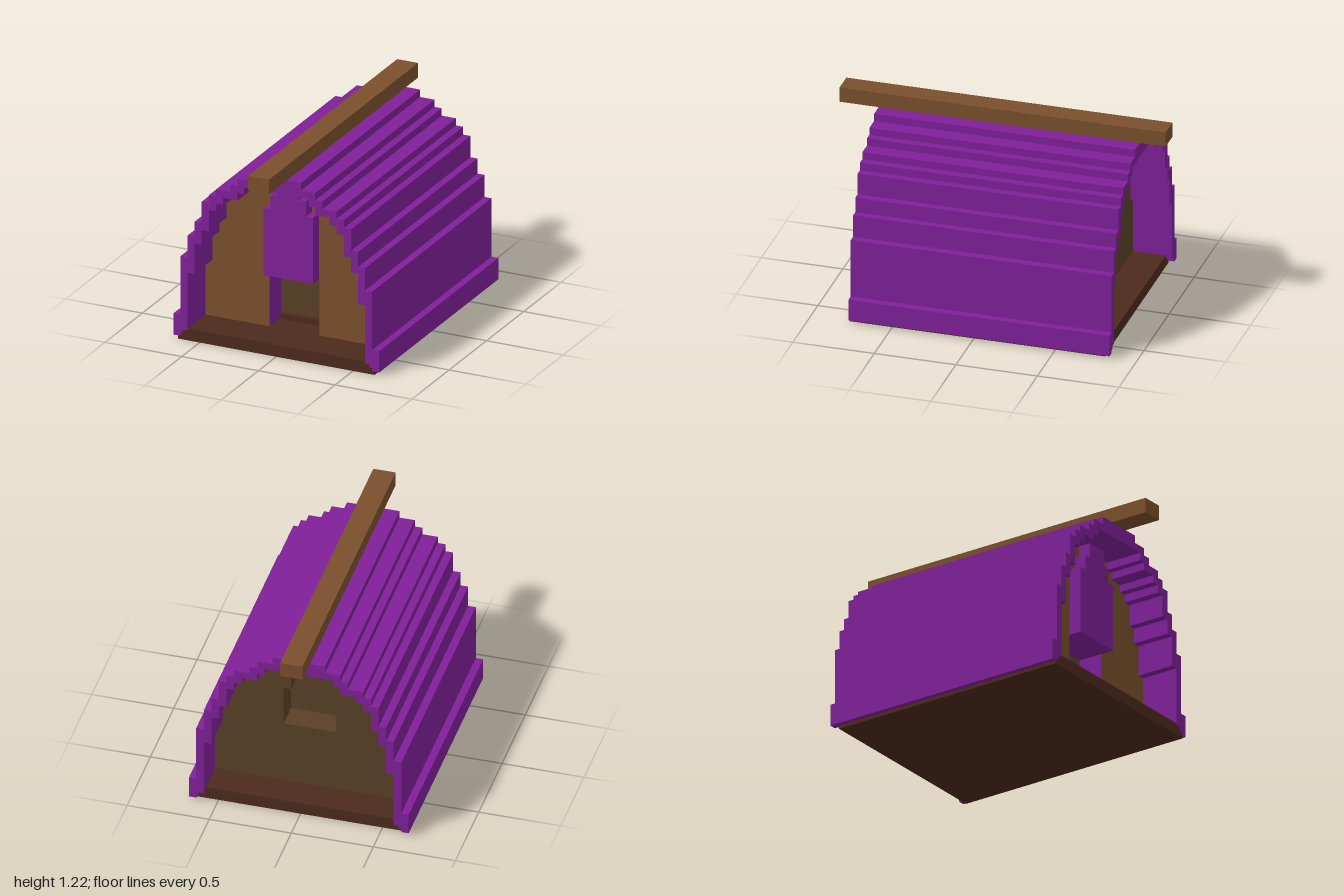
import * as THREE from 'three';

const mat = (color) => new THREE.MeshStandardMaterial({ color, flatShading: true });

// Mirrors the right half of a profile into a closed outline
const mirror = (half) => [...half, ...half.map(([x, y]) => [-x, y]).reverse()];
const toPoints = (list) => list.map(([x, y]) => new THREE.Vector2(x, y));

// Turns [halfWidth, topY] steps into the right side of a stepped arch, bottom to top
function stair(bottom, steps) {
  const pts = [];
  let y = bottom;
  for (const [x, top] of steps) {
    pts.push([x, y], [x, top]);
    y = top;
  }
  return pts;
}

export function createModel() {
  const group = new THREE.Group();
  const purple = mat(0x7f2099);
  const wood = mat(0x7a4f2d);
  const olive = mat(0x594126);
  const darkWood = mat(0x4c2a1c);

  function slab(name, outline, z0, z1, material, hole) {
    const shape = new THREE.Shape(toPoints(outline));
    if (hole) shape.holes.push(new THREE.Path(toPoints(hole)));
    const geo = new THREE.ExtrudeGeometry(shape, { depth: z1 - z0, bevelEnabled: false });
    geo.translate(0, 0, z0);
    const mesh = new THREE.Mesh(geo, material);
    mesh.name = name;
    group.add(mesh);
  }

  function box(name, x0, x1, y0, y1, z0, z1, material) {
    const mesh = new THREE.Mesh(new THREE.BoxGeometry(x1 - x0, y1 - y0, z1 - z0), material);
    mesh.position.set((x0 + x1) / 2, (y0 + y1) / 2, (z0 + z1) / 2);
    mesh.name = name;
    group.add(mesh);
  }

  const outer = stair(0.02, [
    [0.67, 0.155], [0.625, 0.525], [0.578, 0.665], [0.533, 0.76], [0.487, 0.895],
    [0.44, 0.945], [0.393, 0.99], [0.3, 1.037], [0.253, 1.083], [0.16, 1.13],
  ]);
  const innerSteps = [
    [0.578, 0.43], [0.533, 0.62], [0.487, 0.715], [0.44, 0.85],
    [0.393, 0.9], [0.347, 0.945], [0.253, 0.99], [0.21, 1.037],
  ];
  const floorSteps = [[0.64, 0.02], [0.625, 0.04], [0.61, 0.06], [0.578, 0.075]];

  // Stepped roof shell, notched along the bottom to sit on the floor
  const inner = stair(0.06, innerSteps);
  const foot = [[0.61, 0.06], [0.61, 0.04], [0.625, 0.04], [0.625, 0.02]];
  const left = (list) => list.map(([x, y]) => [-x, y]);
  const arch = [
    ...outer, ...left(outer).reverse(),
    ...left([...foot].reverse()), ...left(inner),
    ...[...inner].reverse(), ...foot,
  ];
  slab('roof', arch, -0.84, 0.76, purple);

  // Floor and ridge beam
  slab('floor', mirror(stair(0, floorSteps)), -0.8, 0.76, darkWood);
  box('ridgeBeam', -0.068, 0.068, 1.13, 1.223, -1, 1, wood);

  // Front wall with doorway, solid core, back wall with stepped window recess
  const wall = mirror(stair(0.065, innerSteps));
  slab('frontWall', wall, 0.36, 0.52, wood, mirror([[0.165, 0.07], [0.165, 0.435]]));
  slab('innerWall', wall, -0.44, 0.36, olive);
  slab('backWall', wall, -0.6, -0.44, olive,
    mirror(stair(0.483, [[0.16, 0.74], [0.115, 0.83]])));

  // Doorway: hanging panel, side linings and threshold
  slab('doorHood', mirror(stair(0.43, [[0.162, 0.85], [0.115, 0.945], [0.07, 1.037]])), 0.361, 0.6, purple);
  for (const s of [-1, 1]) {
    box('doorLining', s * 0.163 - 0.003, s * 0.163 + 0.003, 0.07, 0.432, 0.36, 0.519, purple);
  }
  box('threshold', -0.16, 0.16, 0.07, 0.11, 0.355, 0.39, darkWood);

  return group;
}
